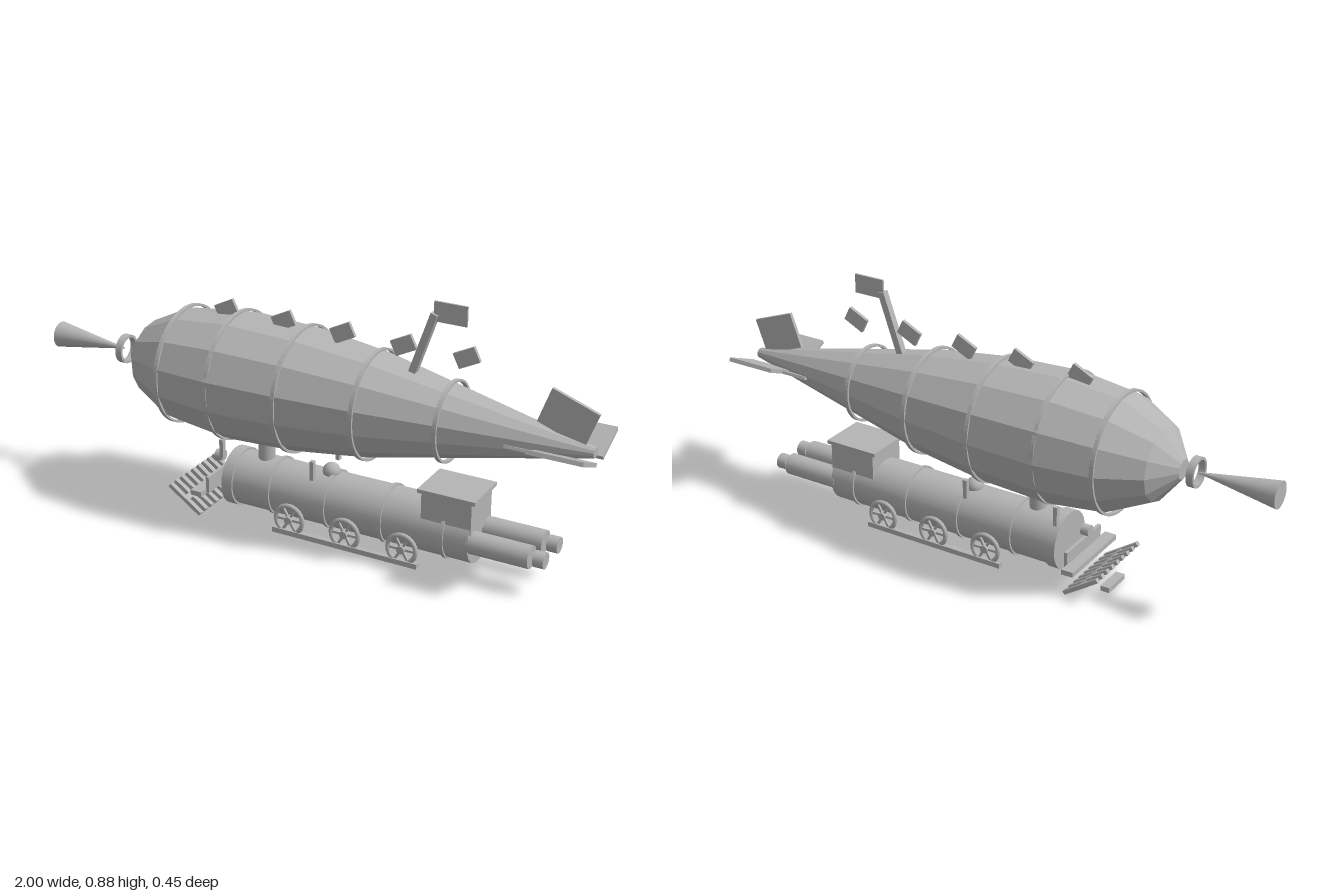
import * as THREE from 'three';

const grey = new THREE.MeshStandardMaterial({ color: 0xb4b4b4 });
grey.name = 'grey';

// Adds a named mesh at a position, with an optional turn about z
function add(parent, name, geo, x = 0, y = 0, z = 0, rz = 0) {
  const m = new THREE.Mesh(geo, grey);
  m.name = name;
  m.position.set(x, y, z);
  m.rotation.z = rz;
  parent.add(m);
  return m;
}
const box = (w, h, d) => new THREE.BoxGeometry(w, h, d);
// Cylinder lying along x; r0 at the -x end, r1 at the +x end
const rod = (r0, r1, len, n = 24) => new THREE.CylinderGeometry(r1, r0, len, n).rotateZ(-Math.PI / 2);
const flat = (geo) => {
  const g = geo.toNonIndexed();
  g.computeVertexNormals();
  return g;
};
// Hollow band around the x axis
function band(r, t, w, n = 32) {
  const s = new THREE.Shape().absarc(0, 0, r, 0, Math.PI * 2);
  s.holes.push(new THREE.Path().absarc(0, 0, r - t, 0, Math.PI * 2, true));
  return new THREE.ExtrudeGeometry(s, { depth: w, bevelEnabled: false, curveSegments: n })
    .translate(0, 0, -w / 2).rotateY(Math.PI / 2);
}

function createAirship() {
  const g = new THREE.Group();
  g.name = 'airship';
  const cy = 0.502;

  // Thirteen-sided envelope, slightly flattened in height
  const profile = [[0, -0.68], [0.035, -0.68], [0.13, -0.61], [0.203, -0.47], [0.227, -0.27],
    [0.216, -0.02], [0.181, 0.24], [0.122, 0.51], [0.018, 0.985], [0, 0.985]]
    .map(([r, x]) => new THREE.Vector2(r, x));
  const hull = new THREE.LatheGeometry(profile, 13, Math.PI).rotateZ(-Math.PI / 2).scale(1, 0.955, 1);
  add(g, 'envelope', flat(hull), 0, cy, 0);

  // Hoops around the envelope
  for (const [x, r] of [[-0.467, 0.205], [-0.265, 0.223], [-0.018, 0.216], [0.245, 0.185], [0.51, 0.135]])
    add(g, 'hoop', band(r, 0.008, 0.014), x, cy, 0);

  // Nose ring and cone
  add(g, 'noseRing', band(0.05, 0.009, 0.024), -0.722, 0.505, 0);
  add(g, 'noseCone', rod(0.045, 0.002, 0.27), -0.865, 0.505, 0);

  // Small plates along the spine
  for (let i = 0; i < 5; i++)
    add(g, 'spinePlate', box(0.078, 0.052, 0.012), -0.31 + i * 0.216, 0.725, 0, 0.46);

  // Leaning mast and flag
  add(g, 'mast', box(0.024, 0.24, 0.024), 0.404, 0.735, 0, -0.33);
  add(g, 'flag', box(0.112, 0.066, 0.007), 0.495, 0.857, 0);

  // Tail fins: one upright, two spread sideways
  add(g, 'uprightFin', box(0.165, 0.125, 0.012), 0.893, 0.598, 0, -0.35);
  for (const s of [-1, 1]) {
    const fin = add(g, 'sideFin', box(0.182, 0.014, 0.13), 0.909, 0.502, s * 0.088);
    fin.rotation.x = -s * 0.41;
    const root = add(g, 'sideFinRoot', box(0.1, 0.01, 0.05), 0.772, 0.49, s * 0.065);
    root.rotation.x = -s * 0.41;
  }
  return g;
}

function createWheel() {
  const g = new THREE.Group();
  g.name = 'wheel';
  add(g, 'wheelRim', new THREE.TorusGeometry(0.05, 0.008, 8, 24));
  add(g, 'wheelHub', new THREE.CylinderGeometry(0.014, 0.014, 0.024, 12).rotateX(Math.PI / 2));
  for (let i = 0; i < 3; i++)
    add(g, 'wheelSpoke', box(0.1, 0.008, 0.008), 0, 0, 0, i * Math.PI / 3);
  return g;
}

function createEngine() {
  const g = new THREE.Group();
  g.name = 'engine';
  const by = 0.13;

  // Boiler with end flange and bands
  add(g, 'boiler', rod(0.094, 0.094, 0.89, 32), 0.175, by, 0);
  add(g, 'frontFlange', rod(0.101, 0.101, 0.04, 32), -0.264, by, 0);
  for (const x of [-0.107, 0.102, 0.31, 0.53])
    add(g, 'boilerBand', band(0.1, 0.01, 0.012), x, by, 0);

  // Cab and overhanging roof
  for (const s of [-1, 1]) {
    add(g, 'cabSide', box(0.172, 0.125, 0.01), 0.537, 0.21, s * 0.074);
    add(g, 'cabEnd', box(0.01, 0.125, 0.158), 0.537 + s * 0.082, 0.21, 0);
  }
  add(g, 'cabRoof', box(0.2, 0.013, 0.17), 0.537, 0.278, 0);

  // Twin exhaust pipes with separate end caps
  for (const s of [-1, 1]) {
    add(g, 'exhaustPipe', rod(0.038, 0.038, 0.21), 0.718, by, s * 0.058);
    add(g, 'exhaustCap', rod(0.027, 0.027, 0.036), 0.853, by, s * 0.058);
  }

  // Chimney, dome and hanging struts
  add(g, 'chimney', new THREE.CylinderGeometry(0.029, 0.029, 0.08, 20), -0.163, 0.25, 0);
  add(g, 'chimneyLip', new THREE.CylinderGeometry(0.036, 0.034, 0.014, 20), -0.163, 0.288, 0);
  add(g, 'dome', new THREE.SphereGeometry(0.03, 20, 12), 0.085, 0.228, 0);
  for (const x of [-0.283, 0.062])
    for (const s of [-1, 1])
      add(g, 'strut', box(0.014, 0.068, 0.016), x, 0.262, s * 0.09);

  // Wheels and side rails
  for (const s of [-1, 1]) {
    for (const x of [-0.02, 0.188, 0.396]) {
      const w = createWheel();
      w.position.set(x, 0.066, s * 0.101);
      g.add(w);
    }
    add(g, 'sideRail', box(0.535, 0.018, 0.02), 0.187, 0.02, s * 0.102);
  }

  // Lamp, front plate and bumper beam
  add(g, 'lamp', rod(0.019, 0.019, 0.028), -0.347, 0.187, 0);
  add(g, 'frontPlate', box(0.012, 0.058, 0.222), -0.333, 0.122, 0);
  add(g, 'bumperBeam', box(0.042, 0.018, 0.29), -0.358, 0.099, 0);

  // Sloping track guard made of slats, with a low step ahead
  for (let i = -4; i <= 4; i++)
    add(g, 'guardSlat', box(0.145, 0.014, 0.016), -0.406, 0.063, i * 0.034, -0.6);
  add(g, 'guardBar', box(0.02, 0.012, 0.285), -0.406, 0.063, 0, -0.6);
  add(g, 'frontStep', box(0.032, 0.018, 0.105), -0.448, 0.021, 0);
  return g;
}

export function createModel() {
  const model = new THREE.Group();
  model.name = 'airshipWithEngine';
  model.add(createAirship(), createEngine());
  // Rest the lowest part on the ground
  model.children.forEach((c) => { c.position.y = -0.006; });
  return model;
}
